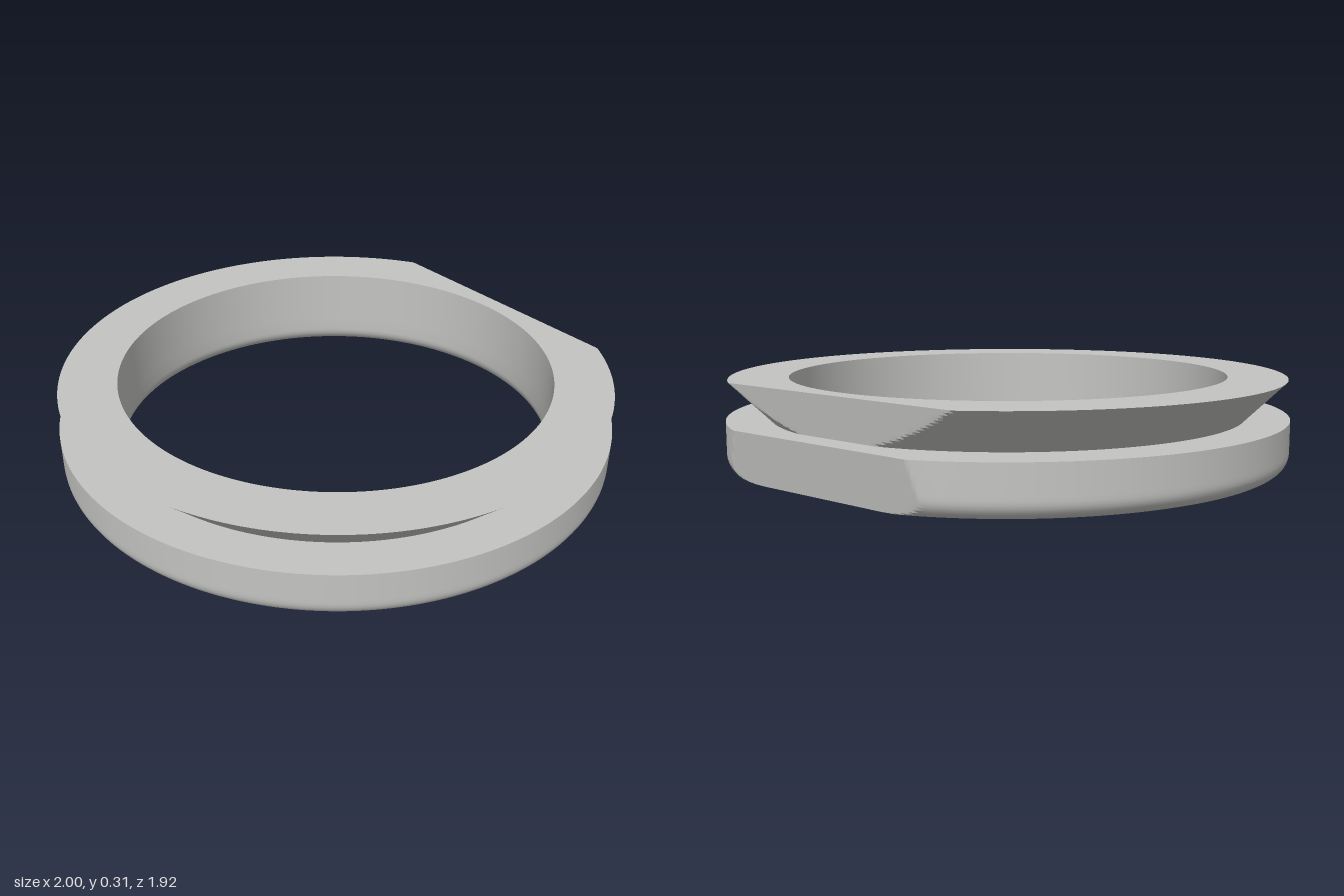
import * as THREE from 'three';
import { toCreasedNormals } from 'three/addons/utils/BufferGeometryUtils.js';

const CENTRE_Z = -0.04;   // ring axis, offset because the back is cut flat
const BORE = 0.783;
const STEP_Y = 0.172;     // top of the base band
const TOP_Y = 0.312;
const TILT = 0.14;        // lean of the flat cuts

// Subdivided straight run of profile points, excluding its end point
function run(x0, y0, x1, y1, n) {
  const pts = [];
  for (let i = 0; i < n; i++) {
    pts.push(new THREE.Vector2(x0 + (x1 - x0) * i / n, y0 + (y1 - y0) * i / n));
  }
  return pts;
}

// Quarter-round profile points, excluding the end point
function fillet(cx, cy, r, from, n = 8) {
  const pts = [];
  for (let i = 0; i < n; i++) {
    const a = from + (Math.PI / 2) * i / n;
    pts.push(new THREE.Vector2(cx + r * Math.cos(a), cy + r * Math.sin(a)));
  }
  return pts;
}

// Turned ring whose back is trimmed by a leaning plane at cutZ (measured at height cutY)
function trimmedRing(name, profile, cutZ, cutY, material) {
  const geo = new THREE.LatheGeometry(profile, 360);
  const p = geo.attributes.position;
  for (let i = 0; i < p.count; i++) {
    const limit = cutZ + (cutY - p.getY(i)) * TILT;
    p.setZ(i, Math.max(p.getZ(i), limit));
  }
  const mesh = new THREE.Mesh(toCreasedNormals(geo, 0.25), material);
  mesh.name = name;
  mesh.position.z = CENTRE_Z;
  return mesh;
}

export function createModel() {
  const group = new THREE.Group();
  group.name = 'flangedRing';
  const metal = new THREE.MeshStandardMaterial({ color: 0xc4c4c2 });
  metal.name = 'light grey';

  // Base band: bore, rounded bottom edges, outer wall and step
  const r = 0.06;
  const base = [
    ...run(BORE, STEP_Y, BORE, r, 2),
    ...fillet(BORE + r, r, r, Math.PI),
    ...run(BORE + r, 0, 1 - r, 0, 2),
    ...fillet(1 - r, r, r, Math.PI * 1.5),
    ...run(1, r, 1, STEP_Y, 8),
    ...run(1, STEP_Y, BORE + 0.01, STEP_Y, 1),
    new THREE.Vector2(BORE + 0.01, STEP_Y),
  ];
  group.add(trimmedRing('baseBand', base, -0.92, STEP_Y, metal));

  // Flared rim: undercut cone, flat top and upper bore
  const rim = [
    ...run(0.848, STEP_Y, 0.99, TOP_Y, 16),
    ...run(0.99, TOP_Y, BORE, TOP_Y, 1),
    ...run(BORE, TOP_Y, BORE, STEP_Y, 1),
    new THREE.Vector2(BORE, STEP_Y),
  ];
  group.add(trimmedRing('flaredRim', rim, -0.85, TOP_Y, metal));

  return group;
}
